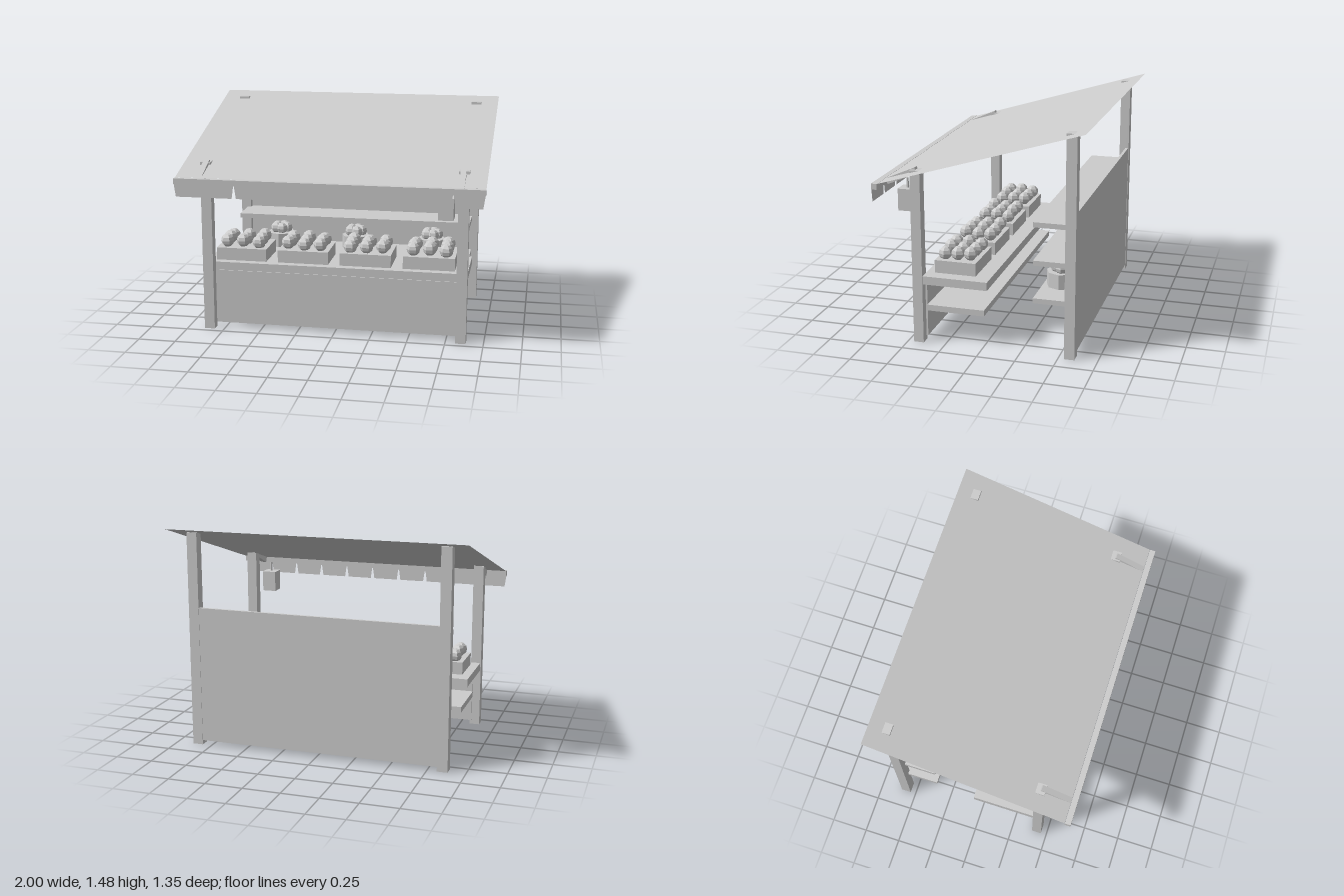
import * as THREE from 'three';

const grey = new THREE.MeshStandardMaterial({ color: 0xcccccc, flatShading: true });
const sheet = new THREE.MeshStandardMaterial({ color: 0xcccccc, flatShading: true, side: THREE.DoubleSide });

export function createModel() {
  const group = new THREE.Group();

  function add(name, geometry, x = 0, y = 0, z = 0, material = grey) {
    const mesh = new THREE.Mesh(geometry, material);
    mesh.name = name;
    mesh.position.set(x, y, z);
    group.add(mesh);
    return mesh;
  }
  // Box given by its limits in x, y and z
  function box(name, x0, x1, y0, y1, z0, z1) {
    return add(name, new THREE.BoxGeometry(x1 - x0, y1 - y0, z1 - z0),
      (x0 + x1) / 2, (y0 + y1) / 2, (z0 + z1) / 2);
  }

  // Posts and the sloping braces on the front pair
  for (const side of [-1, 1]) {
    const x = side * 0.85;
    box('frontPost', x - 0.035, x + 0.035, 0, 1.15, 0.394, 0.46);
    box('backPost', x - 0.035, x + 0.035, 0, 1.45, -0.605, -0.538);
    const brace = add('awningBrace', new THREE.BoxGeometry(0.038, 0.04, 0.215), side * 0.845, 1.104, 0.524);
    brace.rotation.x = 0.407;
  }

  // Front and back boards
  box('frontPanel', -0.83, 0.83, 0.03, 0.4, 0.382, 0.4);
  box('backPanel', -0.83, 0.83, 0.03, 0.95, -0.602, -0.582);

  // Counter with a shelf below, and the back shelves
  box('counter', -0.88, 0.88, 0.4, 0.455, -0.035, 0.394);
  box('lowerShelf', -0.835, 0.835, 0.205, 0.245, 0, 0.384);
  for (const y of [0.335, 0.585, 0.835]) box('backShelf', -0.84, 0.84, y, y + 0.033, -0.585, -0.323);

  // Thin sloping roof sheet
  const drop = 0.397, depth = 1.31;
  const roof = add('roof', new THREE.PlaneGeometry(2, Math.hypot(drop, depth)), 0, 1.2785, -0.025, sheet);
  roof.rotation.x = -Math.PI / 2 + Math.atan2(drop, depth);

  // Front beam with hanging cloth flaps
  box('frontBeam', -1, 1, 1.042, 1.08, 0.632, 0.67);
  const flap = new THREE.Shape([[-0.098, 0], [-0.086, -0.084], [0.086, -0.084], [0.098, 0]]
    .map(([x, y]) => new THREE.Vector2(x, y)));
  const flapGeometry = new THREE.ShapeGeometry(flap);
  for (let i = 0; i < 10; i++) add('valanceFlap', flapGeometry, -0.9 + i * 0.2, 1.044, 0.669, sheet);

  // Hanging lantern
  box('lantern', 0.7, 0.797, 0.854, 0.998, 0.477, 0.577);
  add('lanternHanger', new THREE.CylinderGeometry(0.008, 0.008, 0.065, 6), 0.749, 1.03, 0.527);

  // Crates of fruit on the counter, three by three
  const fruit = new THREE.SphereGeometry(0.046, 6, 6);
  for (let c = 0; c < 4; c++) {
    const cx = -0.65 + c * 0.424;
    box('crate', cx - 0.172, cx + 0.172, 0.455, 0.54, 0.066, 0.34);
    for (let i = -1; i <= 1; i++) {
      for (let j = -1; j <= 1; j++) {
        const lift = 0.005 * ((i + 2 * j + c + 6) % 3 - 1);
        add('crateFruit', fruit, cx + i * 0.11, 0.58 + lift, 0.201 + j * 0.085);
      }
    }
  }

  // Round baskets of fruit on the lowest back shelf
  const basket = new THREE.CylinderGeometry(0.1, 0.1, 0.1, 8);
  const small = new THREE.SphereGeometry(0.042, 6, 6);
  for (const x of [-0.56, 0, 0.56]) {
    add('basket', basket, x, 0.417, -0.443);
    for (let i = 0; i < 5; i++) {
      const a = i / 5 * Math.PI * 2;
      add('basketFruit', small, x + 0.04 * Math.cos(a), 0.496, -0.45 + 0.04 * Math.sin(a));
    }
  }
  return group;
}
